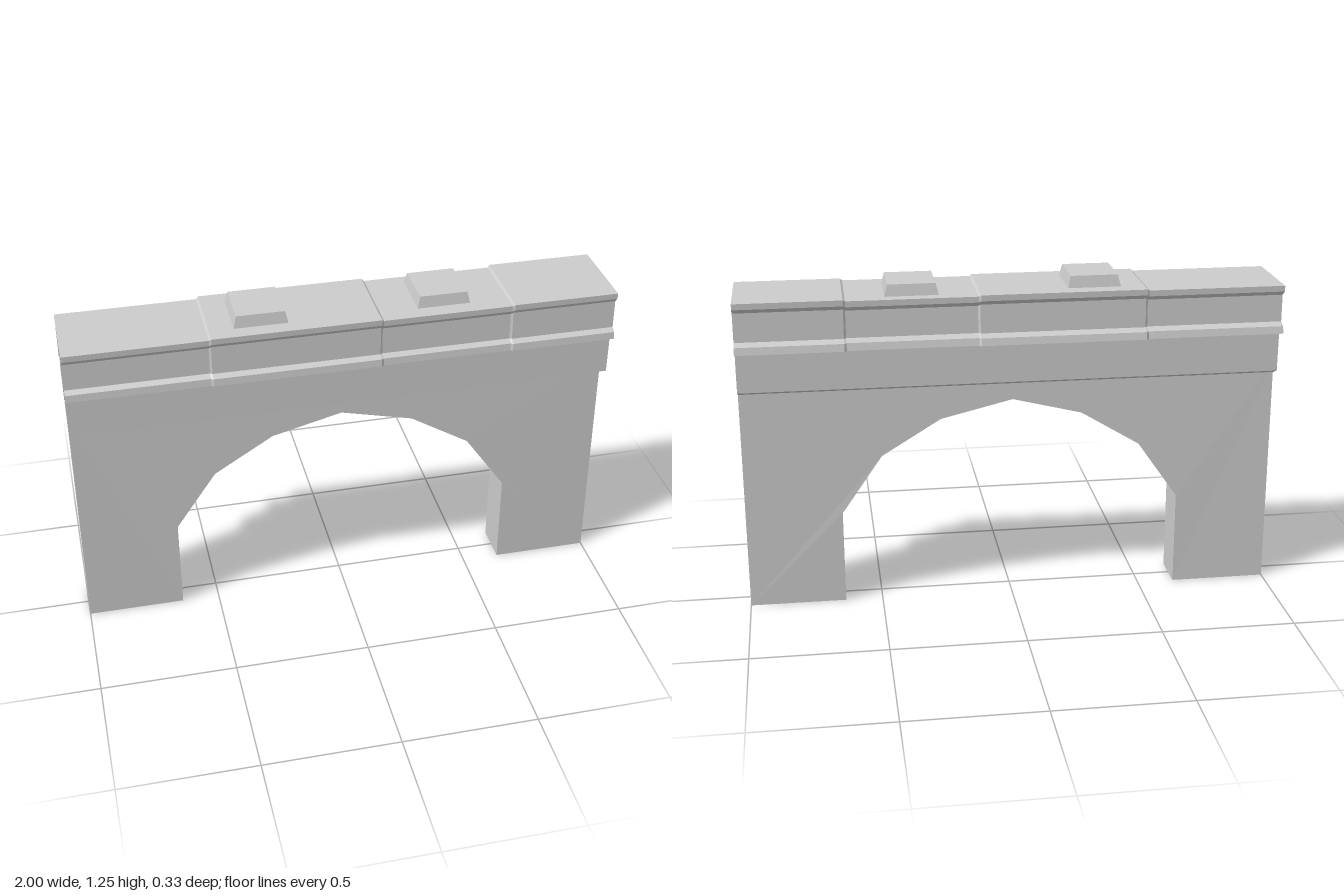
import * as THREE from 'three';

const material = new THREE.MeshStandardMaterial({
  color: 0xcccccc, flatShading: true, side: THREE.DoubleSide,
});

// Open surface through rows of points with equal counts
function loft(name, rows) {
  const positions = [];
  for (let i = 0; i < rows.length - 1; i++) {
    for (let j = 0; j < rows[i].length - 1; j++) {
      const a = rows[i][j], b = rows[i + 1][j], c = rows[i + 1][j + 1], d = rows[i][j + 1];
      positions.push(...a, ...b, ...c, ...a, ...c, ...d);
    }
  }
  const geometry = new THREE.BufferGeometry();
  geometry.setAttribute('position', new THREE.Float32BufferAttribute(positions, 3));
  geometry.computeVertexNormals();
  const mesh = new THREE.Mesh(geometry, material);
  mesh.name = name;
  return mesh;
}

// The wall leans in slightly above the arch springing
const WALL_TOP = 0.88;
const halfDepth = (y) => 0.076 - 0.009 * Math.max(0, (y - 0.36) / (WALL_TOP - 0.36));

// Arch opening, from the -x foot to the +x foot
const archHalf = [[0.64, 0], [0.64, 0.36], [0.487, 0.58], [0.265, 0.715]];
const arch = [
  ...archHalf.map(([x, y]) => [-x, y]),
  [-0.005, 0.78],
  ...archHalf.slice().reverse(),
];

function wallFace(name, side) {
  const outline = [[-1, 0], ...arch, [1, 0], [1, WALL_TOP], [-1, WALL_TOP]];
  const geometry = new THREE.ShapeGeometry(
    new THREE.Shape(outline.map(([x, y]) => new THREE.Vector2(x, y))));
  const p = geometry.attributes.position;
  for (let i = 0; i < p.count; i++) p.setZ(i, side * halfDepth(p.getY(i)));
  if (side < 0) geometry.index.array.reverse();
  geometry.computeVertexNormals();
  const mesh = new THREE.Mesh(geometry, material);
  mesh.name = name;
  return mesh;
}

// Strip running through the depth of the wall along a path
function wallStrip(name, path) {
  return loft(name, path.map(([x, y]) => [[x, y, halfDepth(y)], [x, y, -halfDepth(y)]]));
}

// Coping section as [z, y], front to back, for raised (1) or low (0) lengths
function copingSection(raised) {
  const dy = raised ? 0 : -0.006, front = raised ? 0 : -0.005, back = raised ? 0 : 0.008;
  const f = [[0.129, 1.016], [0.165, 1.02], [0.162, 1.047], [0.143, 1.058],
    [0.141, 1.165], [0.157, 1.183], [0.158, 1.205]];
  const b = [[-0.158, 1.205], [-0.157, 1.183], [-0.134, 1.165], [-0.136, 1.058],
    [-0.163, 1.047], [-0.169, 1.02], [-0.113, 1.016]];
  const shift = (dz) => ([z, y]) => [z + dz, y > 1.1 ? y + dy : y];
  return [...f.map(shift(front)), ...b.map(shift(back))];
}

// Roof block tapering towards its top
function roofBlock(name, x, y, z) {
  const geometry = new THREE.BoxGeometry(0.2, 0.054, 0.205);
  const p = geometry.attributes.position;
  for (let i = 0; i < p.count; i++) {
    if (p.getY(i) > 0) {
      p.setX(i, p.getX(i) * 0.87);
      p.setZ(i, p.getZ(i) * 0.89);
    }
  }
  geometry.computeVertexNormals();
  const mesh = new THREE.Mesh(geometry, material);
  mesh.name = name;
  mesh.position.set(x, y + 0.027, z);
  return mesh;
}

export function createModel() {
  const group = new THREE.Group();
  group.name = 'archedWall';

  // Arched wall, open at the +x end and at the feet
  group.add(wallFace('frontWall', 1), wallFace('backWall', -1));
  group.add(wallStrip('archSoffit', arch));
  group.add(wallStrip('endWall', [[-1, WALL_TOP], [-1, 0]]));

  // Plain bands below the coping, with a sloping underside
  const bands = {
    frontBand: [[0.07, 0.843], [0.129, 0.861], [0.129, 1.016]],
    backBand: [[-0.113, 1.016], [-0.113, 0.862], [-0.07, 0.843]],
  };
  for (const [name, section] of Object.entries(bands)) {
    group.add(loft(name, [-1, 1].map((x) => section.map(([z, y]) => [x, y, z]))));
  }

  // Coping, alternating low and raised lengths with short bevels between
  const stations = [[-1, 0], [-0.493, 0], [-0.485, 1], [0.121, 1], [0.129, 0],
    [0.604, 0], [0.612, 1], [1, 1]];
  group.add(loft('coping', stations.map(([x, raised]) =>
    copingSection(raised).map(([z, y]) => [x, y, z]))));

  // Blocks on the roof
  group.add(roofBlock('leftOfCentreBlock', -0.3, 1.194, 0.001));
  group.add(roofBlock('rightOfCentreBlock', 0.365, 1.187, -0.006));
  return group;
}
